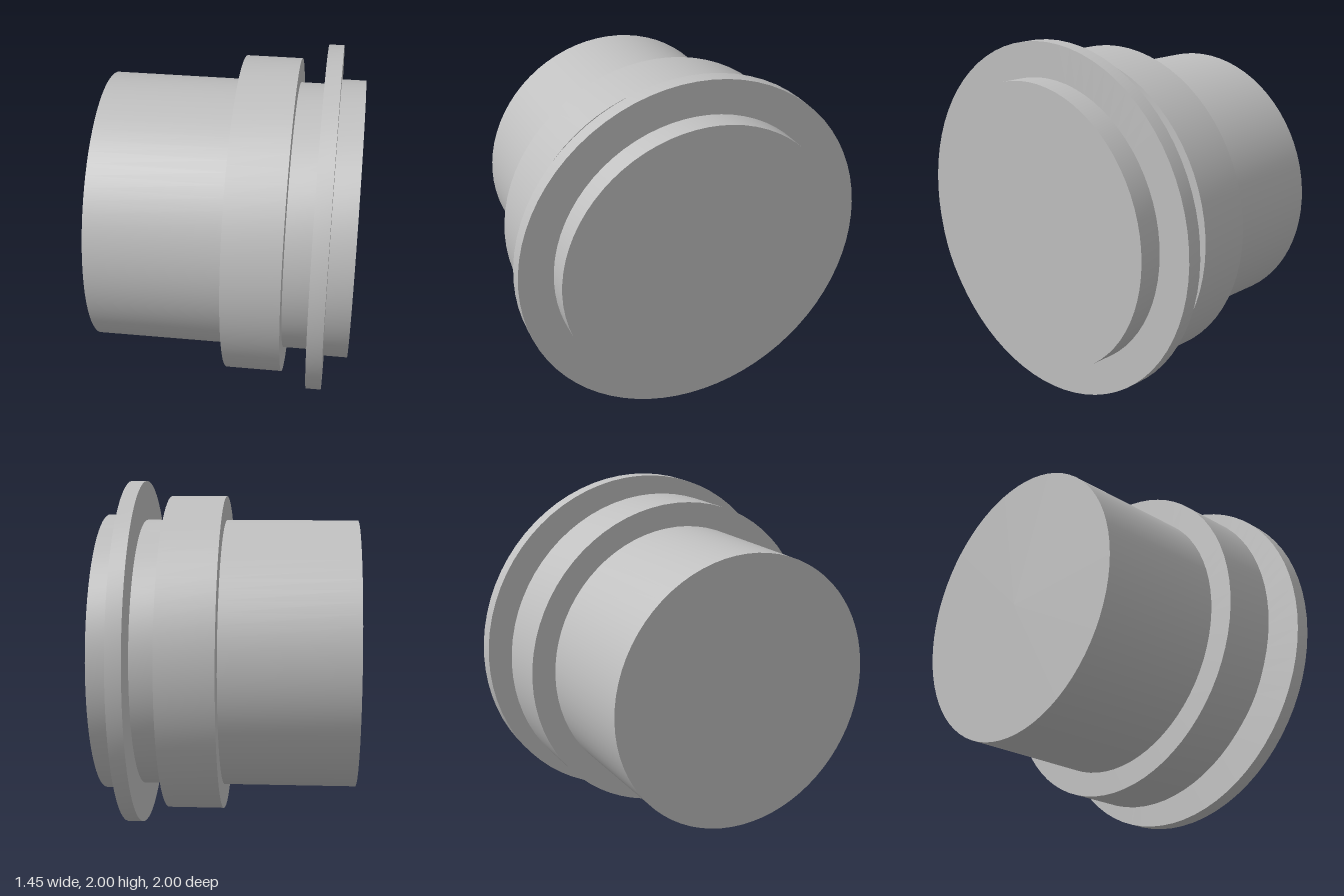
import * as THREE from 'three';
import { toCreasedNormals } from 'three/addons/utils/BufferGeometryUtils.js';

const SEGMENTS = 72;
const BODY = 0.776, COLLAR = 0.914, FLANGE = 1, CAP = 0.806;

export function createModel() {
  const group = new THREE.Group();
  group.name = 'flangedPlug';
  const grey = new THREE.MeshStandardMaterial({ color: 0xc0c0c0 });
  grey.name = 'plain grey';

  // Turned part along the x axis; each profile point is [radius, x]
  const turned = (name, profile) => {
    const points = profile.map(([r, x]) => new THREE.Vector2(r, x));
    const geometry = toCreasedNormals(new THREE.LatheGeometry(points, SEGMENTS), 0.6);
    geometry.rotateZ(-Math.PI / 2);
    const mesh = new THREE.Mesh(geometry, grey);
    mesh.name = name;
    mesh.position.y = 1;
    group.add(mesh);
  };

  // Long barrel with its closed end
  turned('barrel', [[0, -0.723], [BODY, -0.723], [BODY, 0.034]]);
  // Wide collar around the barrel
  turned('collar', [[BODY, 0.034], [COLLAR, 0.034], [COLLAR, 0.352], [BODY, 0.352]]);
  // Groove between collar and flange
  turned('neck', [[BODY, 0.352], [BODY, 0.5]]);
  // Thin flange, the widest part
  turned('flange', [[BODY, 0.5], [FLANGE, 0.5], [FLANGE, 0.586], [CAP, 0.586]]);
  // Short end cap
  turned('endCap', [[CAP, 0.586], [CAP, 0.723], [0, 0.723]]);

  return group;
}
